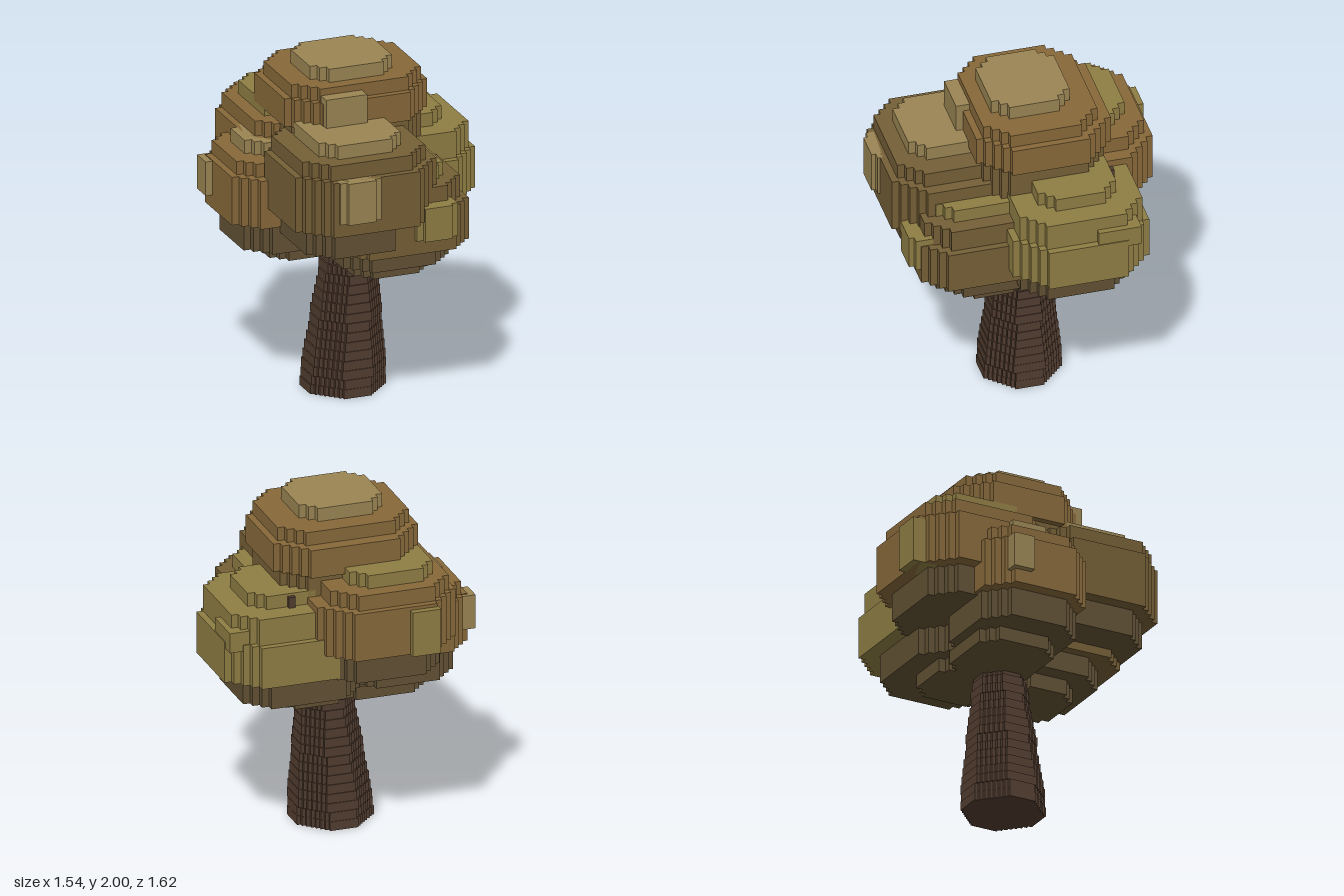
import * as THREE from 'three';

const LIGHT = 0x9a8553, WARM = 0x87693a, MID = 0x755f36, OLIVE = 0x8f7e44, DARK = 0x625134, BARK = 0x523d30;
const materials = {};
const material = (color) => (materials[color] ??= new THREE.MeshStandardMaterial({ color, flatShading: true }));

// Slab with corners cut back in square stair steps
function slab(x0, x1, z0, z1, y0, y1, color, cut, step) {
  const hx = (x1 - x0) / 2, hz = (z1 - z0) / 2;
  const n = Math.max(1, Math.round((Math.min(hx, hz) * cut) / step));
  const corner = [[hx, hz - n * step]];
  for (let i = 1; i <= n; i++) {
    corner.push([hx - i * step, hz - (n - i + 1) * step]);
    corner.push([hx - i * step, hz - (n - i) * step]);
  }
  const back = [...corner].reverse();
  const points = [
    ...corner,
    ...back.map(([x, z]) => [-x, z]),
    ...corner.map(([x, z]) => [-x, -z]),
    ...back.map(([x, z]) => [x, -z]),
  ].map(([x, z]) => new THREE.Vector2(x, z));
  const geometry = new THREE.ExtrudeGeometry(new THREE.Shape(points), { depth: y1 - y0, bevelEnabled: false });
  geometry.rotateX(-Math.PI / 2);
  geometry.translate((x0 + x1) / 2, y0, (z0 + z1) / 2);
  return new THREE.Mesh(geometry, material(color));
}

// Leaf clump made of stacked slabs: x0, x1, z0, z1, y0, y1, color
function clump(name, layers) {
  const group = new THREE.Group();
  group.name = name;
  layers.forEach((layer, i) => {
    const mesh = slab(...layer, 0.37, 0.0415);
    mesh.name = `${name}Layer${i + 1}`;
    group.add(mesh);
  });
  return group;
}

function block(name, x0, x1, y0, y1, z0, z1, color) {
  const mesh = new THREE.Mesh(new THREE.BoxGeometry(x1 - x0, y1 - y0, z1 - z0), material(color));
  mesh.position.set((x0 + x1) / 2, (y0 + y1) / 2, (z0 + z1) / 2);
  mesh.name = name;
  return mesh;
}

export function createModel() {
  const tree = new THREE.Group();
  tree.name = 'tree';

  // Tapering stepped trunk
  const trunk = new THREE.Group();
  trunk.name = 'trunk';
  const rings = 16, top = 0.87;
  for (let i = 0; i < rings; i++) {
    const t = i / (rings - 1);
    const r = 0.23 - 0.09 * t ** 1.15, x = -0.02 + 0.04 * t, z = -0.02;
    const ring = slab(x - r, x + r, z - r, z + r, (i * top) / rings, ((i + 1) * top) / rings, BARK, 0.6, 0.0208);
    ring.name = 'trunkRing';
    trunk.add(ring);
  }
  tree.add(trunk);

  // Crown clumps
  tree.add(
    clump('topLeaves', [
      [-0.27, 0.23, -0.27, 0.19, 1.92, 2.0, LIGHT],
      [-0.40, 0.39, -0.40, 0.27, 1.84, 1.92, WARM],
      [-0.44, 0.43, -0.48, 0.31, 1.67, 1.84, WARM],
      [-0.40, 0.39, -0.44, 0.27, 1.42, 1.67, MID],
    ]),
    clump('frontLeaves', [
      [-0.40, 0.10, 0.10, 0.64, 1.62, 1.71, LIGHT],
      [-0.52, 0.23, 0.01, 0.73, 1.54, 1.63, MID],
      [-0.56, 0.30, -0.03, 0.77, 1.21, 1.54, MID],
      [-0.48, 0.14, 0.05, 0.69, 1.05, 1.21, DARK],
    ]),
    clump('frontLeftLeaves', [
      [-0.13, 0.39, 0.02, 0.56, 1.38, 1.46, OLIVE],
      [-0.22, 0.48, -0.08, 0.64, 1.25, 1.38, MID],
      [-0.26, 0.52, -0.12, 0.67, 1.0, 1.25, MID],
      [-0.20, 0.44, -0.05, 0.56, 0.88, 1.0, DARK],
      [-0.10, 0.35, 0.03, 0.43, 0.79, 0.88, DARK],
    ]),
    clump('leftLeaves', [
      [0.14, 0.60, -0.44, 0.02, 1.5, 1.58, OLIVE],
      [0.01, 0.73, -0.57, 0.15, 1.34, 1.5, OLIVE],
      [-0.03, 0.77, -0.61, 0.19, 1.09, 1.34, OLIVE],
      [-0.06, 0.64, -0.52, 0.12, 0.92, 1.09, DARK],
      [-0.02, 0.41, -0.39, 0.06, 0.84, 0.92, DARK],
    ]),
    clump('backLeaves', [
      [-0.44, 0.06, -0.64, -0.08, 1.62, 1.71, OLIVE],
      [-0.52, 0.19, -0.73, 0.02, 1.54, 1.63, WARM],
      [-0.56, 0.27, -0.77, 0.06, 1.25, 1.54, WARM],
      [-0.48, 0.19, -0.69, -0.02, 1.08, 1.25, DARK],
    ]),
    clump('rightLeaves', [
      [-0.60, -0.19, -0.36, 0.02, 1.46, 1.54, LIGHT],
      [-0.69, -0.12, -0.42, 0.12, 1.38, 1.46, WARM],
      [-0.73, -0.06, -0.46, 0.19, 1.09, 1.38, WARM],
      [-0.65, -0.02, -0.44, 0.17, 0.92, 1.09, DARK],
      [-0.48, 0.04, -0.38, 0.10, 0.84, 0.92, DARK],
    ]),
  );

  // Raised leaf patches on the clump sides
  tree.add(
    block('topPatch', -0.27, -0.02, 1.71, 1.88, 0.15, 0.35, LIGHT),
    block('frontPatch', -0.36, -0.11, 1.29, 1.54, 0.6, 0.785, LIGHT),
    block('frontPatchFace', -0.32, -0.15, 1.29, 1.54, 0.7, 0.81, LIGHT),
    block('frontLeftPatch', 0.14, 0.39, 1.09, 1.29, 0.45, 0.70, OLIVE),
    block('frontLeftPatchFace', 0.18, 0.35, 1.09, 1.29, 0.6, 0.73, OLIVE),
    block('leftPatch', 0.6, 0.765, 1.3, 1.42, -0.52, -0.27, OLIVE),
    block('backPatch', -0.40, -0.23, 1.25, 1.52, -0.81, -0.65, OLIVE),
    block('rightPatch', -0.77, -0.65, 1.17, 1.375, -0.36, -0.23, LIGHT),
    block('twig', 0.35, 0.39, 1.5, 1.565, -0.465, -0.425, BARK),
  );
  return tree;
}
